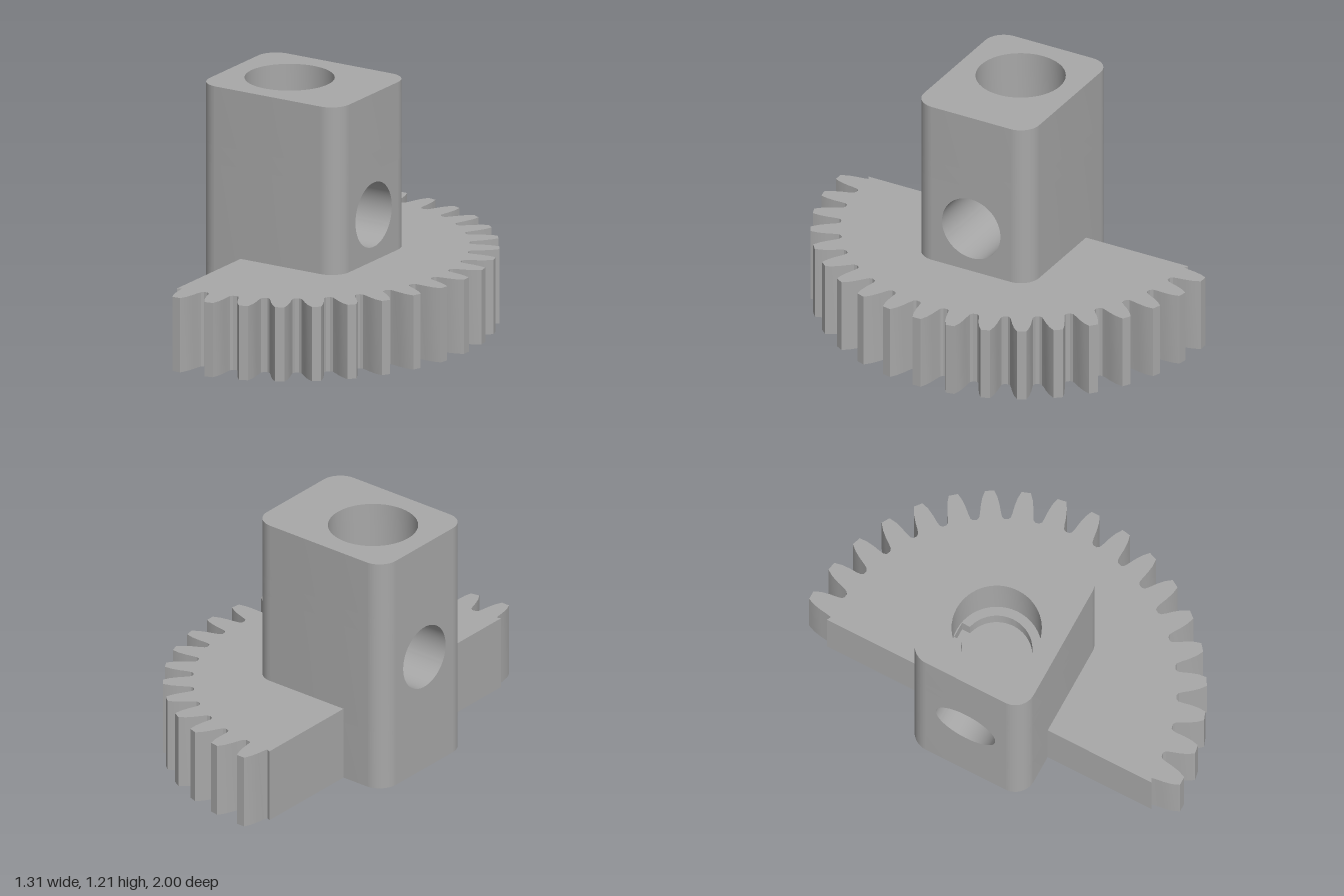
import * as THREE from 'three';
import { toCreasedNormals } from 'three/addons/utils/BufferGeometryUtils.js';

const CX = -0.345;            // shared axis of the gear and the bores
const X0 = -0.66, X1 = 0.13;  // block ends
const HZ = 0.315, R = 0.1;    // block half width and corner radius
const BORE = 0.215, GEAR_H = 0.37, TOP = 1.205;

export function createModel() {
  const model = new THREE.Group();
  model.name = 'sectorGear';
  const grey = new THREE.MeshStandardMaterial({ color: 0xa8a8a8 });
  grey.name = 'grey';

  const add = (name, geo) => {
    const mesh = new THREE.Mesh(toCreasedNormals(geo, 0.45), grey);
    mesh.name = name;
    model.add(mesh);
  };
  // Extrude a plan shape upward from y0 to y1
  const slab = (name, shape, y0, y1) => {
    const g = new THREE.ExtrudeGeometry(shape, { depth: y1 - y0, bevelEnabled: false, curveSegments: 24 });
    g.rotateX(-Math.PI / 2).translate(0, y0, 0);
    add(name, g);
  };
  const circle = (x, y, r) => new THREE.Path().absarc(x, y, r, 0, Math.PI * 2, true);

  // Half gear: 36-tooth pitch, 19 teeth, notched to fit around the block
  const flank = [[-0.076, 0.857], [-0.063, 0.867], [-0.056, 0.89], [-0.049, 0.925], [-0.038, 0.965], [-0.022, 1]];
  const tooth = [...flank, ...flank.map(([a, r]) => [-a, r]).reverse()];
  const gear = new THREE.Shape();
  gear.moveTo(-0.42, -HZ);
  gear.lineTo(-0.42, -0.875);
  for (let i = -9; i <= 9; i++) {
    tooth.forEach(([da, r], k) => {
      if ((i === -9 && k === 0) || (i === 9 && k === tooth.length - 1)) return;
      const a = i * Math.PI / 18 + da;
      gear.lineTo(CX + r * Math.cos(a), r * Math.sin(a));
    });
  }
  gear.lineTo(-0.42, 0.875);
  gear.lineTo(-0.42, HZ);
  gear.lineTo(X1 - R, HZ);
  gear.absarc(X1 - R, HZ - R, R, Math.PI / 2, 0, true);
  gear.lineTo(X1, -HZ + R);
  gear.absarc(X1 - R, -HZ + R, R, 0, -Math.PI / 2, true);
  gear.closePath();
  slab('gearSector', gear, 0, GEAR_H);

  // Rounded block plan with an optional hole
  const blockPlan = (hole) => {
    const s = new THREE.Shape();
    s.absarc(X1 - R, HZ - R, R, 0, Math.PI / 2);
    s.absarc(X0 + R, HZ - R, R, Math.PI / 2, Math.PI);
    s.absarc(X0 + R, -HZ + R, R, Math.PI, Math.PI * 1.5);
    s.absarc(X1 - R, -HZ + R, R, Math.PI * 1.5, Math.PI * 2);
    s.closePath();
    s.holes.push(hole);
    return s;
  };

  // Keyed pocket: round with a slot on either side
  const keyed = new THREE.Path();
  const kr = 0.17, kw = 0.04, ka = Math.asin(kw / kr);
  for (const s of [1, -1]) {
    const mid = s * Math.PI / 2;
    keyed.absarc(CX, 0, kr, mid - Math.PI + ka, mid - ka, false);
    keyed.lineTo(CX + s * kw, s * 0.208);
    keyed.lineTo(CX - s * kw, s * 0.208);
  }
  keyed.closePath();

  const yLow = 0.3, yKey = 0.82, yStep = 0.91;
  slab('blockBottomBore', blockPlan(circle(CX, 0, BORE)), 0, yLow);
  slab('blockKeyedPocket', blockPlan(keyed), yKey, yStep);
  slab('blockTopBore', blockPlan(circle(CX, 0, BORE)), yStep, TOP);

  // Middle of the block: core pierced lengthwise by the cross hole
  const c = HZ - R;
  const core = new THREE.Shape([[-c, yLow], [c, yLow], [c, yKey], [-c, yKey]].map(p => new THREE.Vector2(...p)));
  core.holes.push(circle(0, 0.6, 0.16));
  const coreGeo = new THREE.ExtrudeGeometry(core, { depth: X1 - X0, bevelEnabled: false, curveSegments: 48 });
  coreGeo.rotateY(Math.PI / 2).translate(X0, 0, 0);
  add('blockCrossHoleCore', coreGeo);

  // Rounded cheeks on both sides of the core
  for (const s of [1, -1]) {
    const cheek = new THREE.Shape();
    cheek.moveTo(X1, s * c);
    cheek.absarc(X1 - R, s * c, R, 0, s * Math.PI / 2, s < 0);
    cheek.absarc(X0 + R, s * c, R, s * Math.PI / 2, s * Math.PI, s < 0);
    cheek.closePath();
    slab(s > 0 ? 'blockCheekBack' : 'blockCheekFront', cheek, yLow, yKey);
  }
  return model;
}
